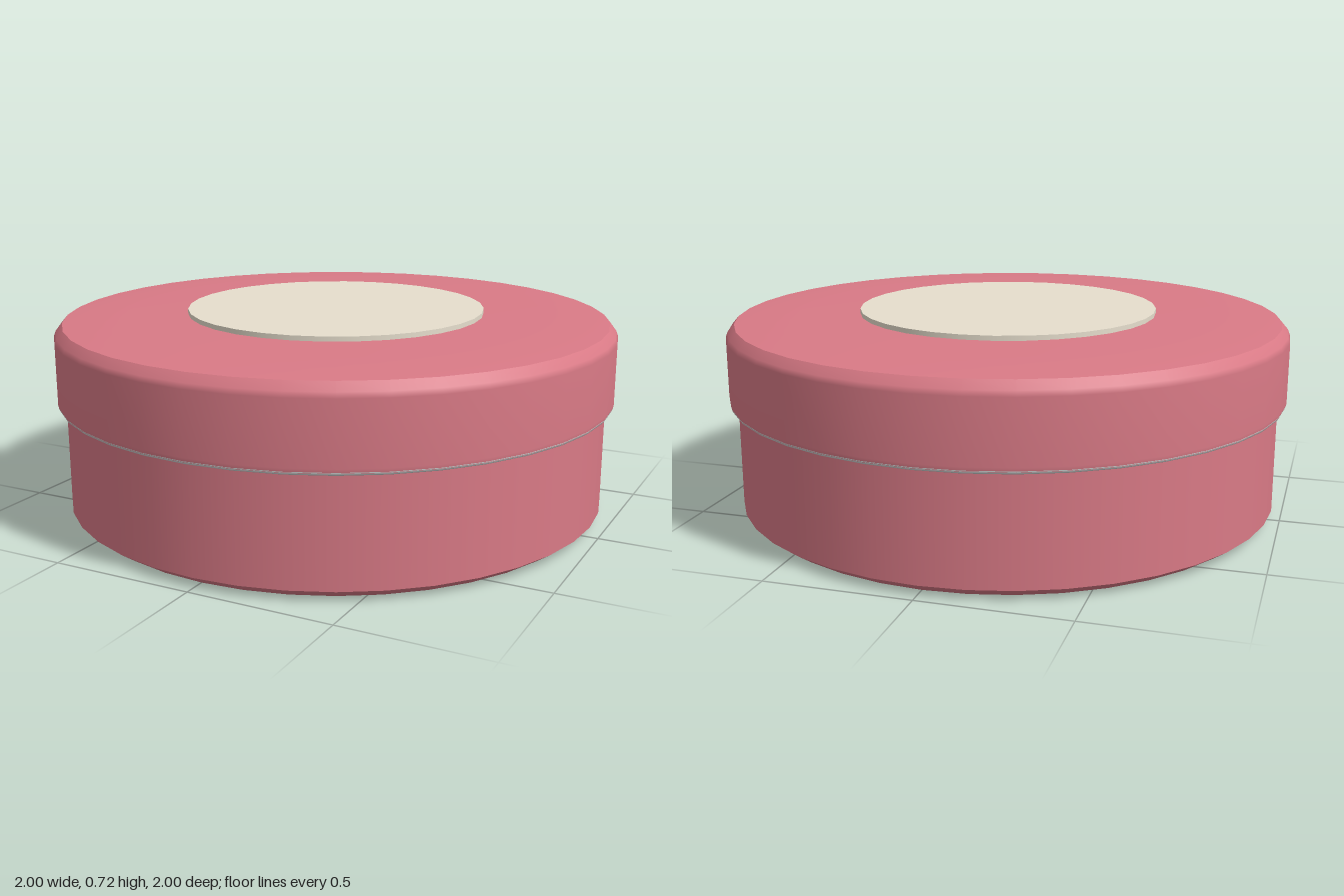
import * as THREE from 'three';

const SEGMENTS = 40;

export function createModel() {
  const tin = new THREE.Group();
  tin.name = 'roundTin';

  const pink = new THREE.MeshStandardMaterial({ color: 0xd97a86 });
  const cream = new THREE.MeshStandardMaterial({ color: 0xe6decd });
  const grey = new THREE.MeshStandardMaterial({ color: 0xcccccc });

  // Turned part; each profile is smooth, with a sharp edge between profiles
  function turned(name, profiles, material, segments = SEGMENTS) {
    const part = new THREE.Group();
    part.name = name;
    profiles.forEach((profile, i) => {
      const points = profile.map(([r, y]) => new THREE.Vector2(r, y));
      const mesh = new THREE.Mesh(new THREE.LatheGeometry(points, segments), material);
      mesh.name = `${name}Surface${i + 1}`;
      part.add(mesh);
    });
    tin.add(part);
  }

  // Base with a chamfered foot
  turned('base', [
    [[0, 0], [0.92, 0], [0.97, 0.035]],
    [[0.97, 0.035], [0.97, 0.43]],
  ], pink);

  // Overhanging lid: underside, wall with softened shoulder, slightly domed top
  turned('lid', [
    [[0.96, 0.415], [0.997, 0.415]],
    [[0.997, 0.415], [1, 0.43], [1, 0.64], [0.993, 0.658], [0.97, 0.685]],
    [[0.97, 0.685], [0.75, 0.7], [0, 0.705]],
  ], pink);

  // Thin metal bead under the lid
  const bead = new THREE.Mesh(new THREE.TorusGeometry(0.986, 0.012, 8, SEGMENTS), grey);
  bead.name = 'rimBead';
  bead.rotation.x = Math.PI / 2;
  bead.position.y = 0.418;
  tin.add(bead);

  // Flat disc on the lid
  const disc = new THREE.Mesh(new THREE.CylinderGeometry(0.53, 0.53, 0.02, 32), cream);
  disc.name = 'topDisc';
  disc.position.y = 0.708;
  tin.add(disc);

  return tin;
}
